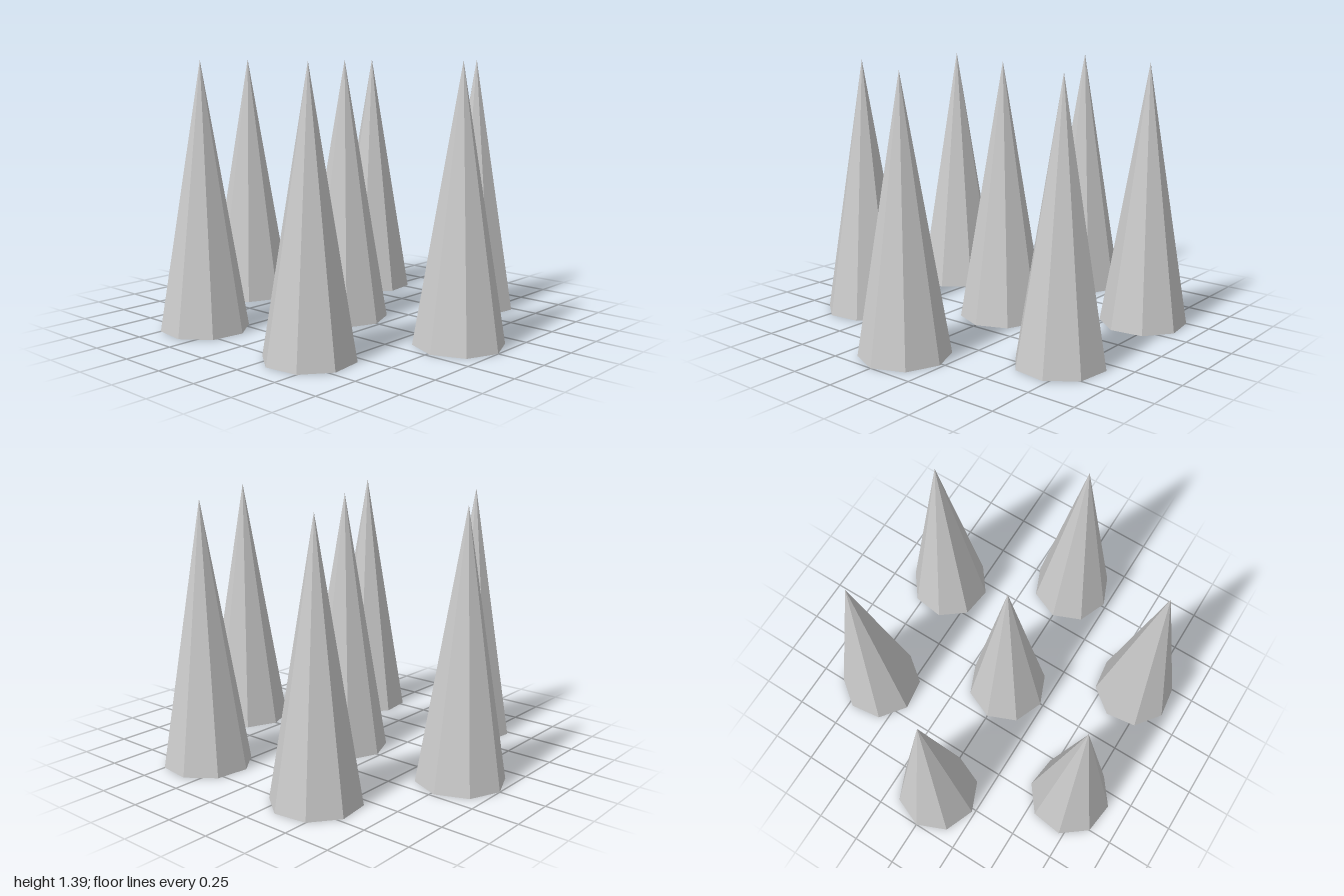
import * as THREE from 'three';

export function createModel() {
  const group = new THREE.Group();
  const material = new THREE.MeshStandardMaterial({
    color: 0xcccccc, flatShading: true, side: THREE.DoubleSide,
  });

  const radius = 0.2325, height = 1.395, ringRadius = 0.7675;

  // Eight-sided spike, open at the base
  const geometry = new THREE.ConeGeometry(radius, height, 8, 1, true);
  geometry.translate(0, height / 2, 0);

  const addSpike = (name, distance, angle) => {
    const spike = new THREE.Mesh(geometry, material);
    spike.name = name;
    spike.position.set(distance * Math.cos(angle), 0, -distance * Math.sin(angle));
    spike.rotation.y = angle;
    group.add(spike);
  };

  // One spike in the middle, six around it, each turned outward
  addSpike('centreSpike', 0, 0);
  for (let i = 0; i < 6; i++) addSpike(`outerSpike${i + 1}`, ringRadius, (i * Math.PI) / 3);

  return group;
}
